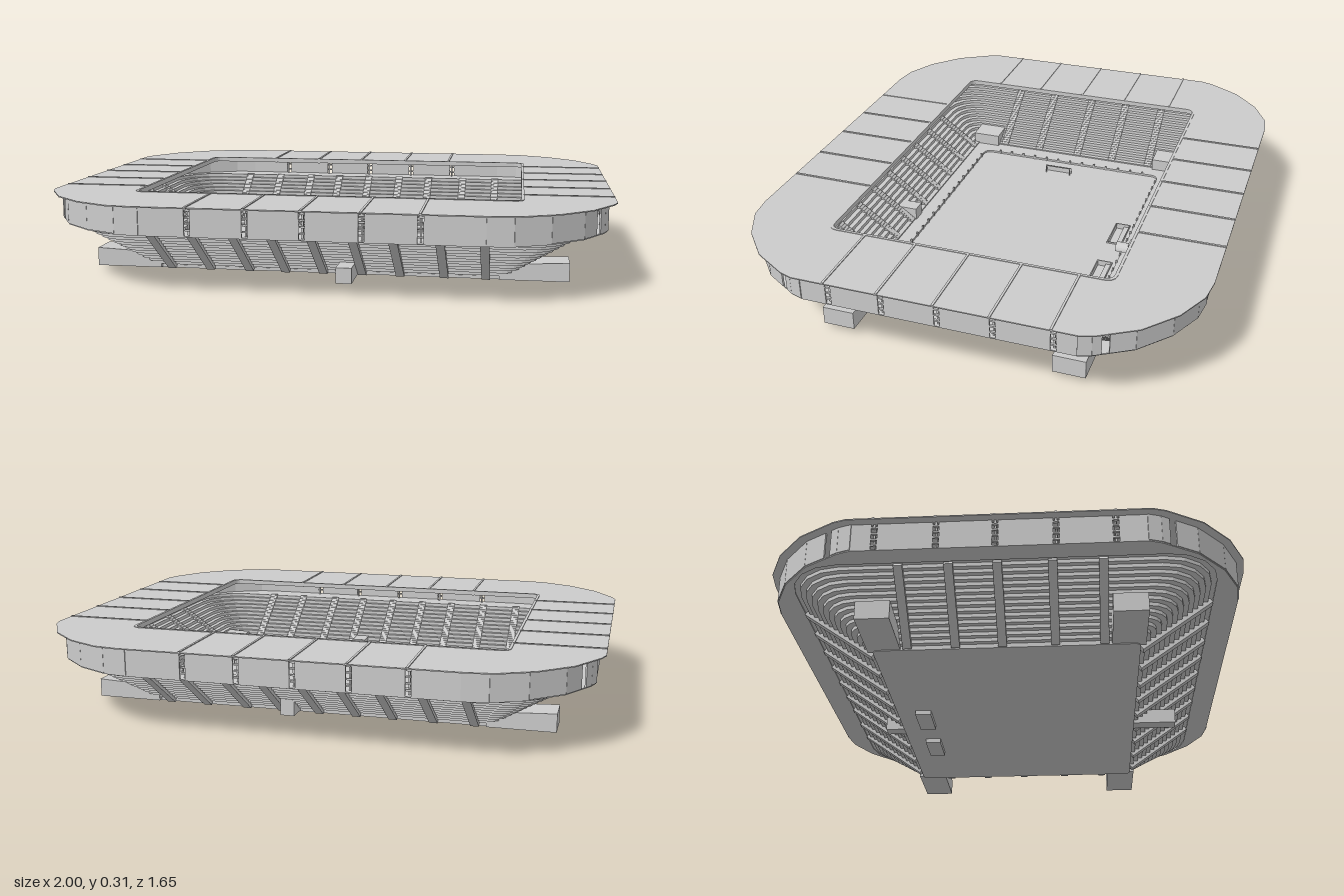
import * as THREE from 'three';

const mat = new THREE.MeshStandardMaterial({ color: 0xcccccc, flatShading: true, side: THREE.DoubleSide });
const SEAM_X = [-0.405, -0.21, -0.02, 0.175, 0.365];
const SEAM_Z = [-0.4, -0.2, -0.01, 0.185, 0.375];
const ROOF_Y = 0.3, DECK_Y = 0.205, FLOOR_Y = 0.02, ROWS = 14;

// Rounded rectangle in plan, as [x, z] points
function roundRect(hx, hz, r, seg = 4) {
  const pts = [];
  [[1, 1], [-1, 1], [-1, -1], [1, -1]].forEach(([sx, sz], q) => {
    for (let i = 0; i <= seg; i++) {
      const a = (q + i / seg) * Math.PI / 2;
      pts.push([sx * (hx - r) + r * Math.cos(a), sz * (hz - r) + r * Math.sin(a)]);
    }
  });
  return pts;
}

// Mirror one corner polyline round all four corners
const CORNER = [[1, 0.49], [0.985, 0.535], [0.91, 0.66], [0.8, 0.757], [0.68, 0.815], [0.59, 0.827]];
function outline(corner) {
  const m = (sx, sz) => corner.map(([x, z]) => [x * sx, z * sz]);
  return [...m(1, 1), ...m(-1, 1).reverse(), ...m(-1, -1), ...m(1, -1).reverse()];
}

const rectPts = (x0, x1, z0, z1) => [[x0, z0], [x1, z0], [x1, z1], [x0, z1]];
const toVec = pts => pts.map(p => new THREE.Vector2(p[0], p[1]));

// Horizontal slab with holes, lying from y to y + h
function slab(parent, name, pts, holes, y, h) {
  const shape = new THREE.Shape(toVec(pts));
  holes.forEach(p => shape.holes.push(new THREE.Path(toVec(p))));
  const g = new THREE.ExtrudeGeometry(shape, { depth: h, bevelEnabled: false });
  g.rotateX(Math.PI / 2).translate(0, y + h, 0);
  return add(parent, name, g);
}

function add(parent, name, geo) {
  const mesh = new THREE.Mesh(geo, mat);
  mesh.name = name;
  parent.add(mesh);
  return mesh;
}

// Box from its minimum and maximum corners
function box(parent, name, x0, x1, y0, y1, z0, z1) {
  const g = new THREE.BoxGeometry(x1 - x0, y1 - y0, z1 - z0);
  g.translate((x0 + x1) / 2, (y0 + y1) / 2, (z0 + z1) / 2);
  return add(parent, name, g);
}

// Upright panel between two plan points
function panel(parent, name, a, b, y0, y1, t) {
  const m = add(parent, name, new THREE.BoxGeometry(Math.hypot(b[0] - a[0], b[1] - a[1]), y1 - y0, t));
  m.position.set((a[0] + b[0]) / 2, (y0 + y1) / 2, (a[1] + b[1]) / 2);
  m.rotation.y = -Math.atan2(b[1] - a[1], b[0] - a[0]);
  return m;
}

function group(parent, name) {
  const g = new THREE.Group();
  g.name = name;
  parent.add(g);
  return g;
}

// Plan ring of the stand at fraction t of its height
const standRing = t => roundRect(0.625 + 0.265 * t, 0.455 + 0.26 * t, 0.02 + 0.155 * t);

// Stepped seating bowl: riser then tread for every row
function seatingGeometry() {
  const rings = [];
  for (let i = 0; i < ROWS; i++) {
    const y0 = FLOOR_Y + (DECK_Y - FLOOR_Y) * i / ROWS, y1 = FLOOR_Y + (DECK_Y - FLOOR_Y) * (i + 1) / ROWS;
    rings.push([i / ROWS, y0], [i / ROWS, y1]);
  }
  rings.push([1, DECK_Y]);
  const pos = [], idx = [], n = standRing(0).length;
  rings.forEach(([t, y]) => standRing(t).forEach(([x, z]) => pos.push(x, y, z)));
  for (let r = 0; r < rings.length - 1; r++) {
    for (let i = 0; i < n; i++) {
      const a = r * n + i, b = r * n + (i + 1) % n;
      idx.push(a, b, a + n, b, b + n, a + n);
    }
  }
  const g = new THREE.BufferGeometry();
  g.setAttribute('position', new THREE.Float32BufferAttribute(pos, 3));
  g.setIndex(idx);
  const flat = g.toNonIndexed();
  flat.computeVertexNormals();
  return flat;
}

// Stair aisle: sloping strip under the rows with half steps on top, built along +z
function aisle(parent, run, start) {
  const g = group(parent, 'aisle');
  const rise = DECK_Y - FLOOR_Y, w = 0.03;
  const strip = add(g, 'aisleRamp', new THREE.BoxGeometry(w, 0.02, Math.hypot(run, rise) - 0.015));
  strip.position.set(0, FLOOR_Y + rise / 2, start + run / 2);
  strip.rotation.x = -Math.atan2(rise, run);
  for (let i = 0; i < ROWS; i++) {
    const z = start + run * i / ROWS, y = FLOOR_Y + rise * i / ROWS;
    box(g, 'aisleStep', -w / 2, w / 2, y, y + rise / ROWS / 2, z - run / ROWS / 2, z);
  }
  return g;
}

export function createModel() {
  const model = new THREE.Group();
  model.name = 'stadium';

  // Floor with two sunken benches
  const pits = [[-0.12, 0.03], [0.165, 0.31]];
  slab(model, 'floor', roundRect(0.627, 0.457, 0.02), pits.map(([a, b]) => rectPts(a, b, -0.385, -0.325)), FLOOR_Y - 0.003, 0.003);
  pits.forEach(([a, b]) => {
    const g = group(model, 'dugout');
    slab(g, 'dugoutWalls', rectPts(a, b, -0.385, -0.325), [rectPts(a + 0.004, b - 0.004, -0.381, -0.329)], 0, 0.026);
    box(g, 'dugoutFloor', a, b, 0, 0.004, -0.385, -0.325);
    box(g, 'dugoutBench', a + 0.006, b - 0.006, 0.004, 0.016, -0.379, -0.36);
  });

  // Raised surround and its row of small posts
  slab(model, 'pitchSurround', roundRect(0.627, 0.457, 0.02), [roundRect(0.555, 0.4, 0.03)], FLOOR_Y, 0.008);
  const posts = group(model, 'perimeterPosts');
  const post = (x, z) => box(posts, 'post', x - 0.003, x + 0.003, FLOOR_Y, 0.038, z - 0.003, z + 0.003);
  for (const s of [-1, 1]) {
    for (let i = -9; i <= 9; i++) post(i * 0.055, s * 0.4);
    for (let i = -6; i <= 6; i++) post(s * 0.555 - 0.012 * (s > 0), i * 0.055);
  }

  // Goals
  for (const [x, s] of [[-0.455, -1], [0.432, 1]]) {
    const g = group(model, 'goal');
    for (const z of [-0.028, 0.078]) box(g, 'goalPost', x, x + 0.004, FLOOR_Y, 0.055, z - 0.002, z + 0.002);
    box(g, 'goalBar', x, x + 0.004, 0.051, 0.055, -0.03, 0.08);
    box(g, 'goalBack', x + s * 0.018 - 0.001, x + s * 0.018 + 0.001, FLOOR_Y, 0.045, -0.03, 0.08);
  }

  // Seating bowl and aisles
  add(model, 'seatingBowl', seatingGeometry());
  for (const s of [0, 1]) {
    for (const x of [-0.57, -0.425, -0.28, -0.147, -0.01, 0.13, 0.265, 0.42, 0.565]) {
      const a = aisle(model, 0.26, 0.455);
      a.position.x = x;
      if (s) a.scale.z = -1;
    }
    for (const z of [-0.335, -0.17, -0.01, 0.17, 0.335]) {
      const a = aisle(model, 0.265, 0.625);
      a.rotation.y = s ? -Math.PI / 2 : Math.PI / 2;
      a.position.z = z;
    }
  }

  // Corner vehicle tunnels
  for (const sx of [-1, 1]) for (const sz of [-1, 1]) {
    const g = new THREE.BoxGeometry(0.24, 0.066, 0.115);
    g.translate(sx * 0.73, 0.053, sz * 0.4175);
    const p = g.attributes.position;
    for (let i = 0; i < p.count; i++) {
      if (Math.abs(p.getX(i)) < 0.7 && p.getY(i) > 0.05) p.setY(i, 0.075);
    }
    g.computeVertexNormals();
    add(model, 'cornerTunnel', g);
  }

  // Centre tunnels at front and back
  box(model, 'frontTunnel', 0.06, 0.115, FLOOR_Y, 0.075, 0.45, 0.62);
  box(model, 'backTunnel', 0.065, 0.115, FLOOR_Y, 0.08, -0.53, -0.43);
  const canopy = add(model, 'tunnelCanopy', new THREE.CylinderGeometry(0.025, 0.025, 0.06, 10, 1, true, -Math.PI / 2, Math.PI));
  canopy.rotation.x = -Math.PI / 2;
  canopy.position.set(0.09, 0.045, -0.41);

  // Concourse deck between bowl and facade
  const facade = CORNER.map(([x, z]) => [x * 0.97, z * 0.97]);
  slab(model, 'concourseDeck', outline(facade), [standRing(1)], DECK_Y - 0.004, 0.004);

  // Facade panels with narrow gaps at the seams
  const walls = group(model, 'facade');
  const [fx, fz] = [0.97 * CORNER[0][0], 0.97 * CORNER[5][1]];
  const run = (seams, end, at) => {
    const stops = [-end, ...seams.flatMap(s => [s - 0.01, s + 0.01]), end];
    for (let i = 0; i < stops.length; i += 2) panel(walls, 'facadePanel', at(stops[i]), at(stops[i + 1]), DECK_Y, ROOF_Y, 0.006);
  };
  for (const s of [-1, 1]) {
    run(SEAM_X, facade[5][0], v => [v, s * (fz - 0.003)]);
    run(SEAM_Z, facade[0][1], v => [s * (fx - 0.003), v]);
    for (const t of [-1, 1]) {
      const c = facade.map(([x, z]) => [x * s, z * t]);
      const mix = k => [0, 1].map(j => c[1][j] + (c[2][j] - c[1][j]) * k);
      [[c[0], c[1]], [c[1], mix(0.22)], [mix(0.4), c[2]], [c[2], c[3]], [c[3], c[4]], [c[4], c[5]]]
        .forEach(([a, b]) => panel(walls, 'cornerPanel', a, b, DECK_Y, ROOF_Y, 0.006));
    }
  }

  // Roof plate with lip round the opening
  const hole = roundRect(0.685, 0.515, 0.03);
  slab(model, 'roof', outline(CORNER), [hole], ROOF_Y, 0.004);
  slab(model, 'roofLip', roundRect(0.69, 0.52, 0.033), [roundRect(0.68, 0.51, 0.028)], ROOF_Y - 0.012, 0.018);

  // Roof ribs, beams beneath them and ladder struts in the facade gaps
  const frames = group(model, 'roofFrames');
  const frame = (u, inner, outer, along) => {
    const put = (name, w, y0, y1, r0, r1) => {
      for (const s of [-1, 1]) {
        const [a, b] = s > 0 ? [r0, r1] : [-r1, -r0];
        if (along) box(frames, name, u - w, u + w, y0, y1, a, b);
        else box(frames, name, a, b, y0, y1, u - w, u + w);
      }
    };
    put('roofRib', 0.004, ROOF_Y, 0.307, inner, outer);
    put('roofBeam', 0.004, 0.286, ROOF_Y, inner, outer - 0.03);
    put('gapPost', 0.003, DECK_Y, ROOF_Y, outer - 0.05, outer - 0.042);
    for (let k = 0; k < 4; k++) put('gapRung', 0.01, 0.22 + k * 0.022, 0.226 + k * 0.022, outer - 0.04, outer - 0.032);
  };
  SEAM_X.forEach(x => frame(x, 0.515, 0.825, true));
  SEAM_Z.forEach(z => frame(z, 0.685, 1, false));

  return model;
}
